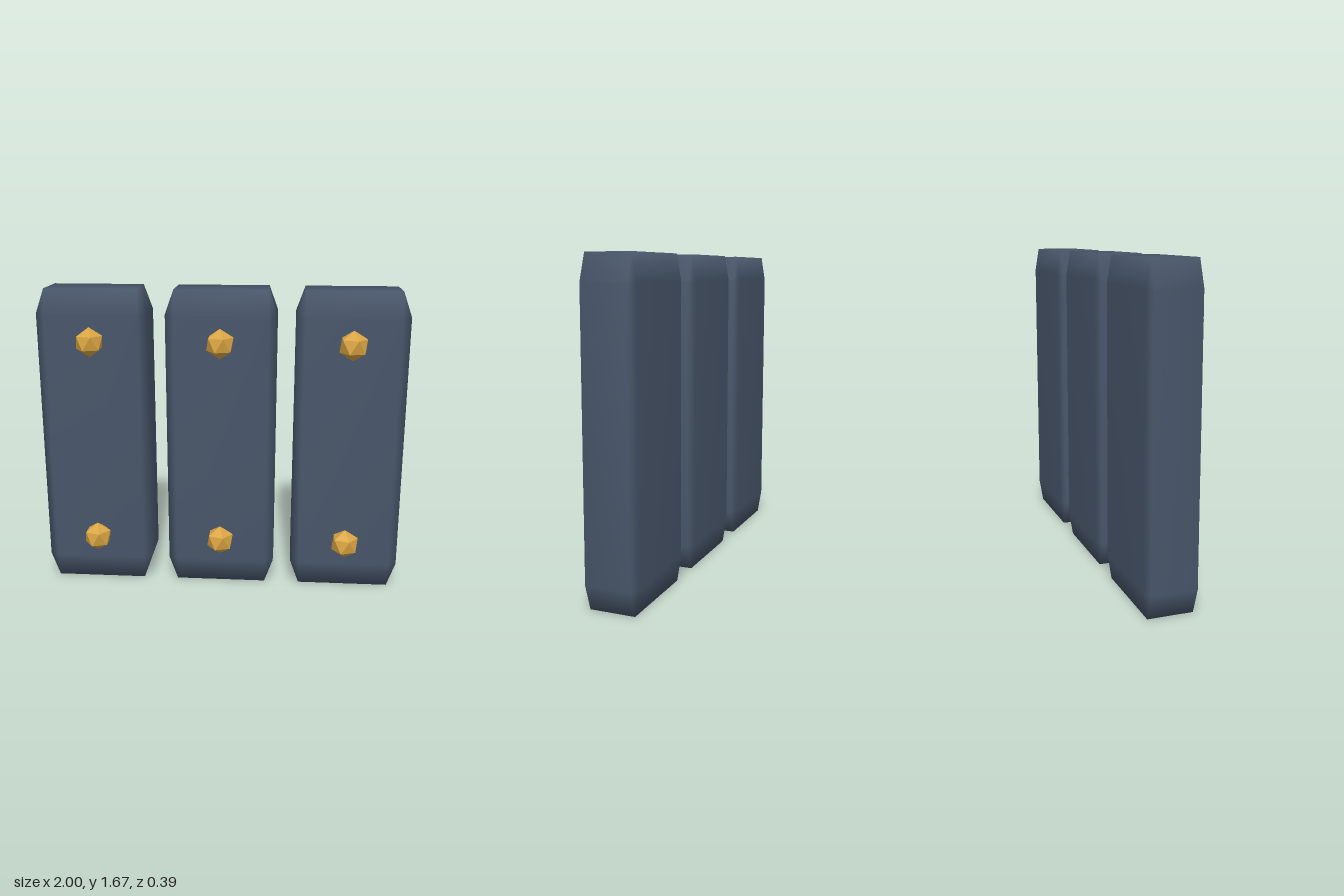
import * as THREE from 'three';

const HEIGHT = 1.675;

// Box whose edges are chamfered in proportion to each side, with shared (smooth) vertices
function chamferedBox(w, h, d, bevel) {
  const half = [w / 2, h / 2, d / 2];
  const pos = [], index = [];
  const id = (axis, s) => axis * 8 + (s[0] > 0 ? 4 : 0) + (s[1] > 0 ? 2 : 0) + (s[2] > 0 ? 1 : 0);
  for (let axis = 0; axis < 3; axis++)
    for (const x of [-1, 1]) for (const y of [-1, 1]) for (const z of [-1, 1])
      [x, y, z].forEach((s, i) => pos.push(s * half[i] * (i === axis ? 1 : 1 - 2 * bevel)));

  const point = i => new THREE.Vector3().fromArray(pos, i * 3);
  // Adds a triangle fan, turned to face outwards
  const addFace = ids => {
    const [a, b, c] = ids.map(point);
    const normal = b.clone().sub(a).cross(c.clone().sub(a));
    if (normal.dot(a.add(b).add(c)) < 0) ids.reverse();
    for (let i = 1; i < ids.length - 1; i++) index.push(ids[0], ids[i], ids[i + 1]);
  };
  const signs = (a, sa, b, sb, c, sc) => { const s = []; s[a] = sa; s[b] = sb; s[c] = sc; return s; };

  for (let a = 0; a < 3; a++) {
    const b = (a + 1) % 3, c = (a + 2) % 3;
    for (const sa of [-1, 1]) {
      // Flat side
      addFace([[-1, -1], [1, -1], [1, 1], [-1, 1]].map(([sb, sc]) => id(a, signs(a, sa, b, sb, c, sc))));
      // Chamfers between this side and its neighbours
      for (const sb of [-1, 1]) {
        const lo = signs(a, sa, b, sb, c, -1), hi = signs(a, sa, b, sb, c, 1);
        addFace([id(a, lo), id(a, hi), id(b, hi), id(b, lo)]);
      }
    }
  }
  // Corner triangles
  for (const x of [-1, 1]) for (const y of [-1, 1]) for (const z of [-1, 1])
    addFace([0, 1, 2].map(axis => id(axis, [x, y, z])));

  const geo = new THREE.BufferGeometry();
  geo.setAttribute('position', new THREE.Float32BufferAttribute(pos, 3));
  geo.setIndex(index);
  geo.computeVertexNormals();
  return geo;
}

export function createModel() {
  const model = new THREE.Group();
  model.name = 'studdedPanels';

  const panelMat = new THREE.MeshStandardMaterial({ color: 0x475569 });
  const studMat = new THREE.MeshStandardMaterial({ color: 0xd9a441, flatShading: true });

  const panelGeo = chamferedBox(0.6, HEIGHT, 0.28, 0.08);
  // Faceted stud standing on one of its points
  const studGeo = new THREE.IcosahedronGeometry(0.081, 0);
  studGeo.rotateZ(-Math.atan(2 / (1 + Math.sqrt(5))));

  ['right', 'middle', 'left'].forEach((side, i) => {
    const section = new THREE.Group();
    section.name = side + 'Section';
    section.position.x = (i - 1) * 0.7;

    const panel = new THREE.Mesh(panelGeo, panelMat);
    panel.name = side + 'Panel';
    panel.position.set(0, HEIGHT / 2, -0.06);
    section.add(panel);

    for (const [name, y] of [['LowerStud', 0.28], ['UpperStud', 1.4]]) {
      const stud = new THREE.Mesh(studGeo, studMat);
      stud.name = side + name;
      stud.position.set(0, y, 0.125);
      section.add(stud);
    }
    model.add(section);
  });
  return model;
}
